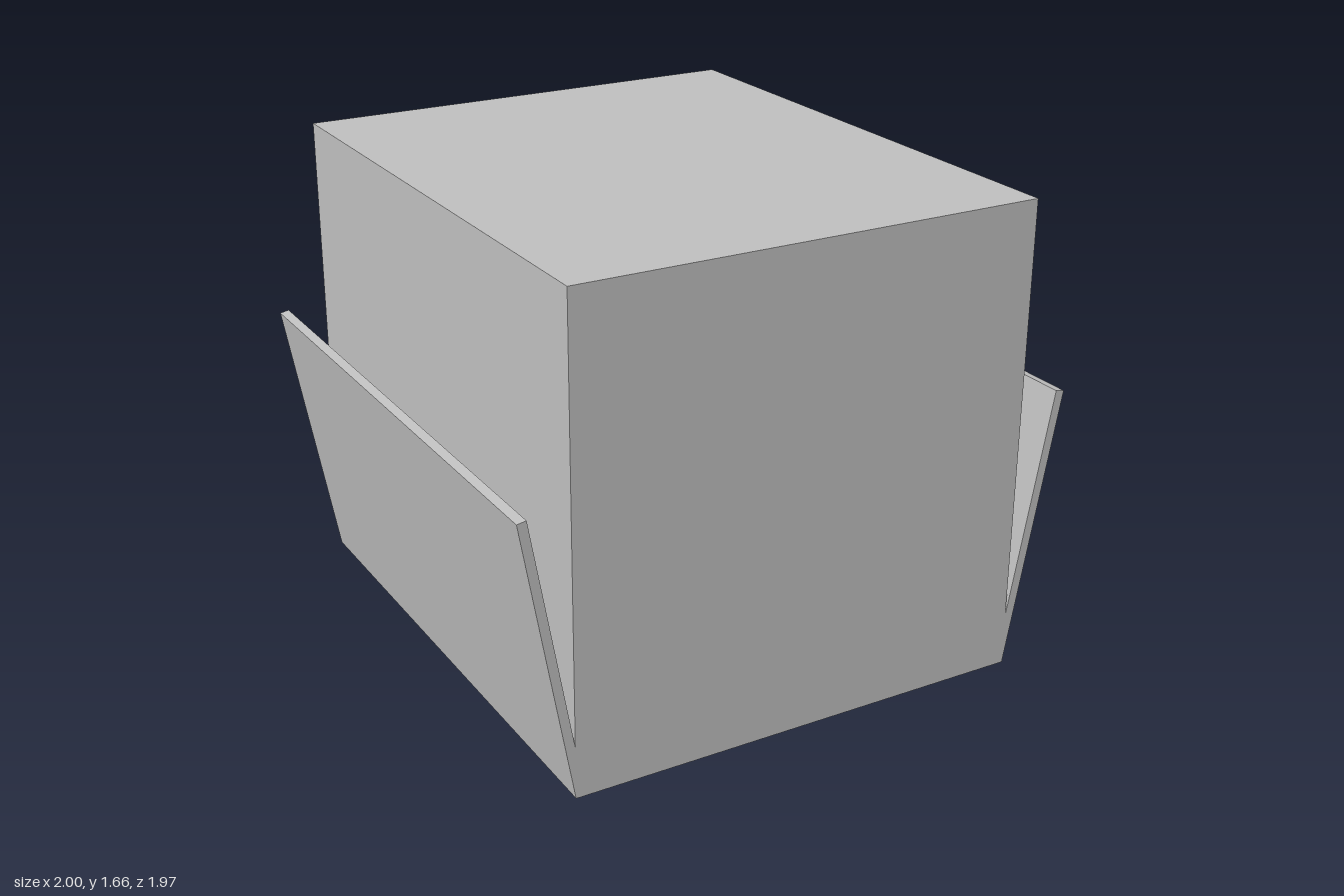
import * as THREE from 'three';

const W = 0.826, D = 0.985, H = 1.665, T = 0.033; // half width, half depth, height, wall thickness

export function createModel() {
  const model = new THREE.Group();
  const grey = new THREE.MeshStandardMaterial({ color: 0xbebebe });
  grey.name = 'grey';

  const add = (name, geometry) => {
    const mesh = new THREE.Mesh(geometry, grey);
    mesh.name = name;
    model.add(mesh);
    return mesh;
  };

  // Hollow box, open at the bottom: a rectangular ring raised along y, from y = 0 to the lid
  const rectangle = (path, x, z) => path.moveTo(-x, -z).lineTo(x, -z).lineTo(x, z).lineTo(-x, z).closePath();
  const ring = rectangle(new THREE.Shape(), W, D);
  ring.holes.push(rectangle(new THREE.Path(), W - T, D - T));
  const walls = new THREE.ExtrudeGeometry(ring, { depth: H - T, bevelEnabled: false });
  add('walls', walls.rotateX(-Math.PI / 2));

  // Lid closing the top
  add('lid', new THREE.BoxGeometry(2 * W, T, 2 * D)).position.y = H - T / 2;

  // Flaps hinged on the lower side edges, leaning outward
  for (const [name, s] of [['leftFlap', 1], ['rightFlap', -1]]) {
    const section = new THREE.Shape(
      [[W, 0], [1, 0.979], [0.968, 0.985], [W, 0.185]].map(([x, y]) => new THREE.Vector2(s * x, y))
    );
    const flap = new THREE.ExtrudeGeometry(section, { depth: 2 * D, bevelEnabled: false });
    add(name, flap.translate(0, 0, -D));
  }
  return model;
}
